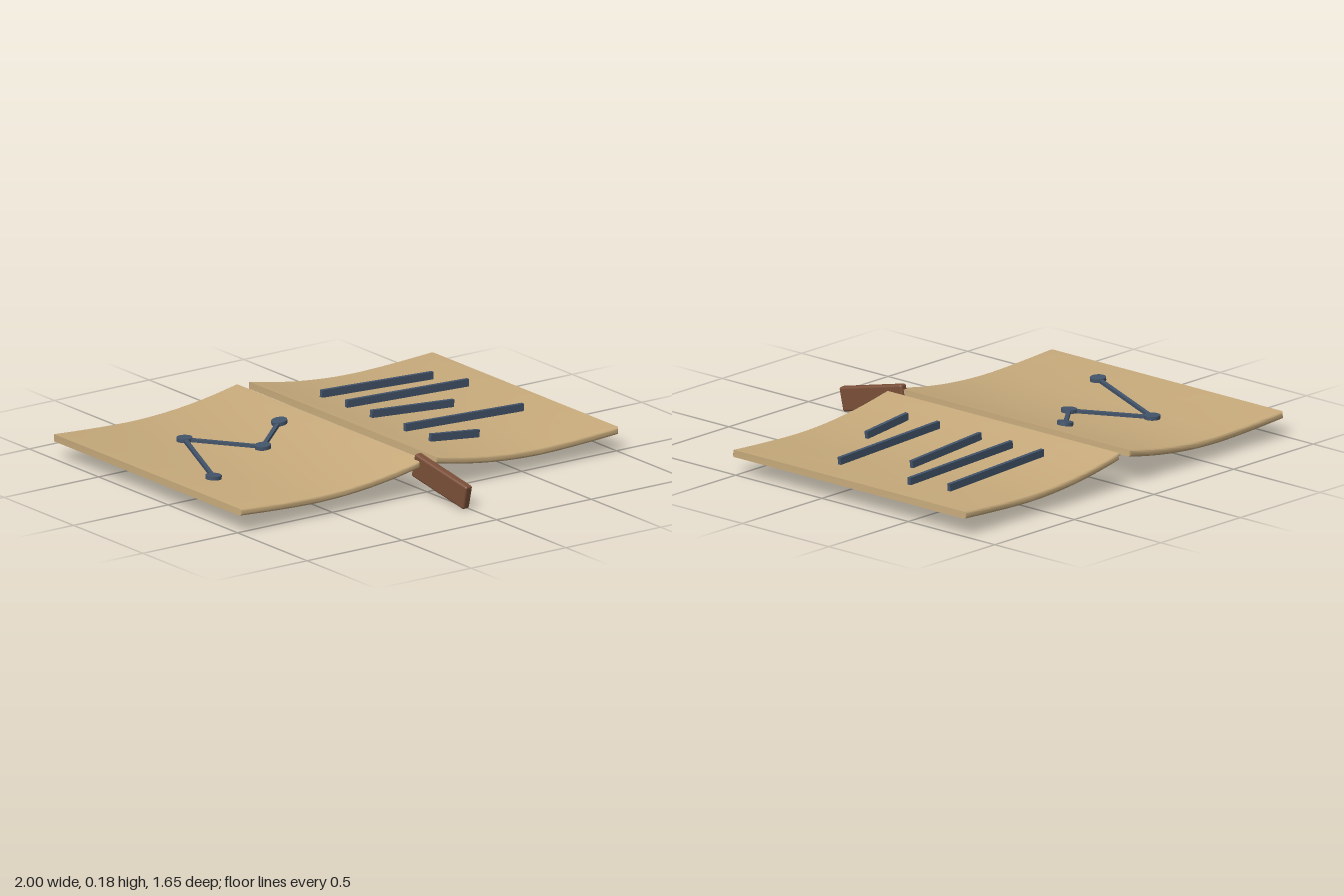
import * as THREE from 'three';
import { toCreasedNormals } from 'three/addons/utils/BufferGeometryUtils.js';
import { RoundedBoxGeometry } from 'three/addons/geometries/RoundedBoxGeometry.js';

const HALF = 0.016; // half the page thickness
const BEVEL = 0.01;

// Height of the page's middle surface at a distance from the spine
function pageY(x) {
  const d = Math.abs(x) - 0.6;
  return d < 0 ? 0.086 + 0.064 * (d / 0.57) ** 2 : 0.086 + 0.018 * (d / 0.4) ** 1.5;
}

// Curved sheet with softened edges, extruded along z
function pageGeometry(side) {
  const steps = 28, x0 = 0.03 + BEVEL, x1 = 1 - BEVEL, t = HALF - BEVEL;
  const points = [];
  for (let i = 0; i <= steps; i++) {
    const x = x0 + (x1 - x0) * i / steps;
    points.push(new THREE.Vector2(side * x, pageY(x) - t));
  }
  for (let i = steps; i >= 0; i--) {
    const x = x0 + (x1 - x0) * i / steps;
    points.push(new THREE.Vector2(side * x, pageY(x) + t));
  }
  const geometry = new THREE.ExtrudeGeometry(new THREE.Shape(points), {
    depth: 1.35 - 2 * BEVEL, bevelEnabled: true, bevelSize: BEVEL,
    bevelThickness: BEVEL, bevelSegments: 3,
  });
  geometry.translate(0, 0, -0.83 + BEVEL);
  return toCreasedNormals(geometry, 0.7);
}

export function createModel() {
  const model = new THREE.Group();
  model.name = 'openBook';
  const paper = new THREE.MeshStandardMaterial({ name: 'tan paper', color: 0xc8ab7c });
  const ink = new THREE.MeshStandardMaterial({ name: 'slate ink', color: 0x43546a });
  const leather = new THREE.MeshStandardMaterial({ name: 'brown leather', color: 0x7a4f38 });

  function add(name, geometry, material, parent = model) {
    const mesh = new THREE.Mesh(geometry, material);
    mesh.name = name;
    parent.add(mesh);
    return mesh;
  }

  // Straight bar between two points
  function addBar(name, a, b, width, height, parent) {
    const bar = add(name, new THREE.BoxGeometry(width, height, a.distanceTo(b)), ink, parent);
    bar.position.copy(a).lerp(b, 0.5);
    bar.lookAt(b);
  }
  const onPage = (x, z, lift) => new THREE.Vector3(x, pageY(x) + HALF + lift, z);

  // Two curved pages
  add('leftPage', pageGeometry(1), paper);
  add('rightPage', pageGeometry(-1), paper);

  // Lines of writing: end x, z
  const writing = new THREE.Group();
  writing.name = 'writing';
  model.add(writing);
  [[0.795, -0.545], [0.85, -0.365], [0.64, -0.185], [0.83, 0.057], [0.463, 0.239]].forEach(([x, z], i) => {
    addBar('writtenLine' + (i + 1), onPage(0.207, z, 0.016), onPage(x, z, 0.016), 0.017, 0.033, writing);
  });

  // Chart of dots joined by thin bars
  const chart = new THREE.Group();
  chart.name = 'chart';
  model.add(chart);
  const nodes = [[-0.815, 0.075], [-0.58, -0.455], [-0.39, -0.15], [-0.175, -0.325]];
  nodes.forEach(([x, z], i) => {
    const dot = add('chartDot' + (i + 1), new THREE.CylinderGeometry(0.035, 0.035, 0.016, 24), ink, chart);
    dot.position.copy(onPage(x, z, 0.011));
    dot.rotation.z = Math.atan2(pageY(x + 0.03) - pageY(x - 0.03), 0.06);
    if (i > 0) {
      const [px, pz] = nodes[i - 1];
      addBar('chartLink' + i, onPage(px, pz, 0.009), onPage(x, z, 0.009), 0.018, 0.014, chart);
    }
  });

  // Strap hanging out at the foot of the spine
  const bookmark = add('bookmark', new RoundedBoxGeometry(0.038, 0.108, 0.345, 3, 0.01), leather);
  bookmark.position.set(-0.024, 0.097, 0.64);
  bookmark.rotation.set(0.215, 0.085, 0, 'YXZ');

  return model;
}
